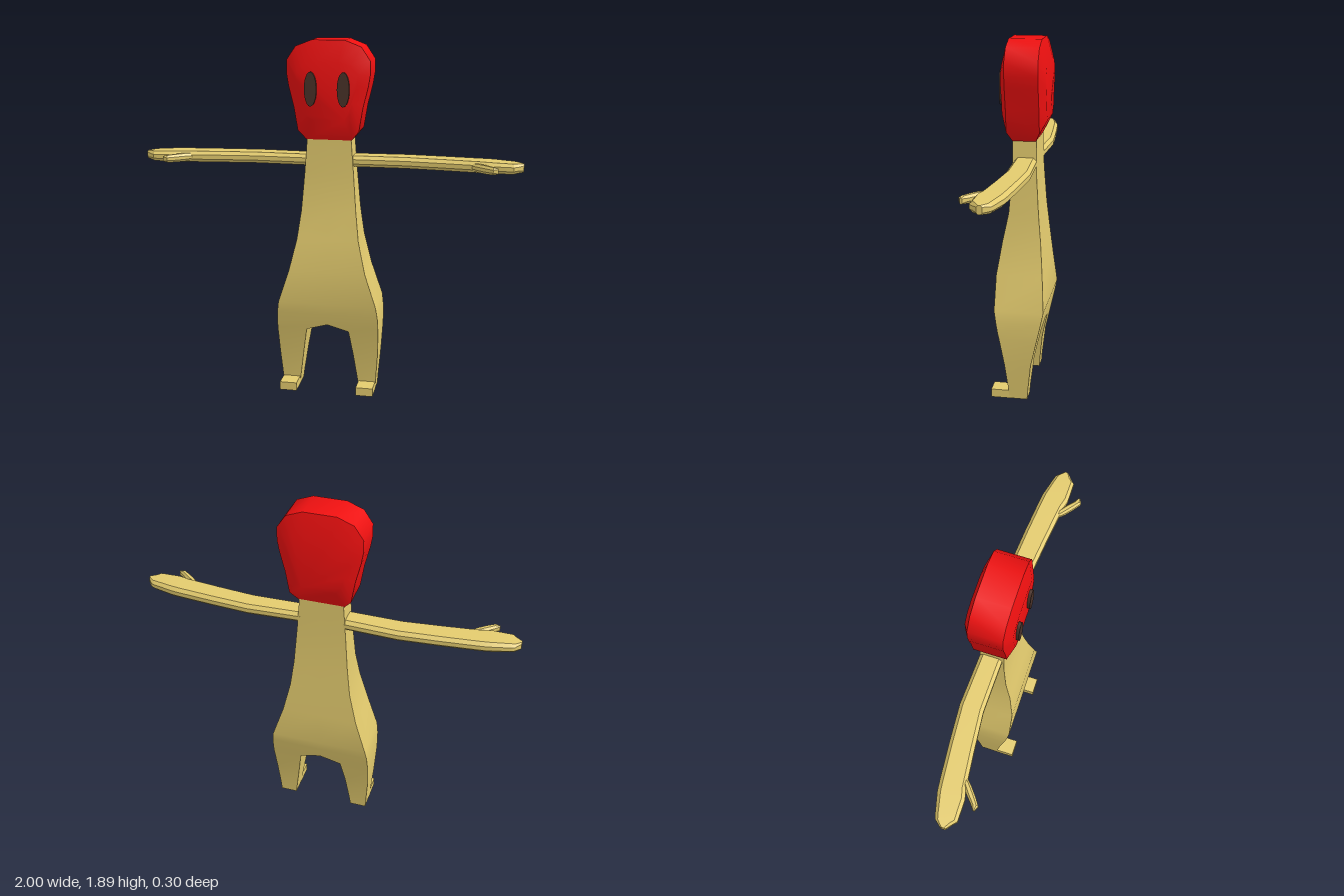
import * as THREE from 'three';
import { mergeGeometries, toCreasedNormals } from 'three/addons/utils/BufferGeometryUtils.js';

const skin = new THREE.MeshStandardMaterial({ color: 0xe3cb6e });
const red = new THREE.MeshStandardMaterial({ color: 0xee1010 });
const dark = new THREE.MeshStandardMaterial({ color: 0x4a3229 });

// Skin a list of equal-length rings of [x, y, z] points, capped at both ends.
// Rings run counter-clockwise about the loft direction.
function loft(rings) {
  const pos = [];
  const tri = (...p) => {
    if (p.every((v) => Math.abs(v[0]) < 1e-6)) return; // no wall on the mirror plane
    p.forEach((v) => pos.push(...v));
  };
  const n = rings[0].length;
  for (let r = 0; r < rings.length - 1; r++) {
    const a = rings[r], b = rings[r + 1];
    for (let i = 0; i < n; i++) {
      const j = (i + 1) % n;
      tri(a[i], a[j], b[j]);
      tri(a[i], b[j], b[i]);
    }
  }
  const s = rings[0], e = rings[rings.length - 1];
  for (let i = 1; i < n - 1; i++) {
    tri(s[0], s[i + 1], s[i]);
    tri(e[0], e[i], e[i + 1]);
  }
  const g = new THREE.BufferGeometry();
  g.setAttribute('position', new THREE.Float32BufferAttribute(pos, 3));
  return g;
}

const mirrorRings = (rings) => rings.map((r) => r.map(([x, y, z]) => [-x, y, z]).reverse());

function mesh(name, geometry, material) {
  const m = new THREE.Mesh(geometry, material);
  m.name = name;
  return m;
}

// Torso and leg, one half: y, inner x, outer x, front z, back z
const bodyRows = [
  [0, 0.165, 0.255, 0.033, -0.065],
  [0.045, 0.16, 0.258, 0.035, -0.068],
  [0.2, 0.138, 0.27, 0.055, -0.085],
  [0.345, 0.115, 0.276, 0.082, -0.117],
  [0.38, 0, 0.275, 0.09, -0.125],
  [0.44, 0, 0.273, 0.1, -0.138],
  [0.5, 0, 0.264, 0.11, -0.15],
  [0.68, 0, 0.205, 0.108, -0.135],
  [0.85, 0, 0.165, 0.082, -0.12],
  [1.0, 0, 0.146, 0.052, -0.105],
  [1.2, 0, 0.13, 0.036, -0.092],
  [1.4, 0, 0.115, 0.035, -0.088],
];

// Arm: x, back z, front z, bottom y, top y
const armRows = [
  [0.1, -0.09, 0.025, 1.237, 1.295],
  [0.4, -0.103, 0.02, 1.237, 1.295],
  [0.6, -0.088, 0.04, 1.237, 1.295],
  [0.79, -0.07, 0.062, 1.237, 1.295],
  [0.84, -0.064, 0.075, 1.237, 1.295],
  [0.95, -0.037, 0.075, 1.24, 1.292],
  [0.97, -0.03, 0.056, 1.242, 1.29],
  [1.0, 0.005, 0.032, 1.245, 1.288],
];
const thumbRows = [
  [0.73, 0.01, 0.045, 1.25, 1.282],
  [0.77, 0.04, 0.085, 1.245, 1.287],
  [0.81, 0.07, 0.117, 1.245, 1.287],
  [0.85, 0.106, 0.145, 1.247, 1.285],
  [0.875, 0.124, 0.134, 1.252, 1.28],
];

// Bevelled rectangle across the arm
function limbRing([x, z0, z1, y0, y1]) {
  const b = Math.min(0.018, (z1 - z0) * 0.3, (y1 - y0) * 0.3);
  return [
    [y1, z0 + b], [y1, z1 - b], [y1 - b, z1], [y0 + b, z1],
    [y0, z1 - b], [y0, z0 + b], [y0 + b, z0], [y1 - b, z0],
  ].map(([y, z]) => [x, y, z]);
}

function makeHead() {
  const half = [[0.12, 1.38], [0.16, 1.43], [0.18, 1.55], [0.207, 1.66],
    [0.217, 1.72], [0.217, 1.79], [0.17, 1.86], [0.085, 1.893]];
  const outline = [...half, ...half.map(([x, y]) => [-x, y]).reverse()];
  // Rim narrows towards the chin
  const rim = (front) => outline.map(([x, y]) => {
    const chin = y < 1.4 ? 0.024 : 0;
    return [x, y, front ? 0.06 - chin : -0.11 + chin];
  });
  const face = (z) => outline.map(([x, y]) => [x * 0.73, 1.64 + (y - 1.64) * 0.58, z]);
  return toCreasedNormals(loft([face(-0.142), rim(false), rim(true), face(0.09)]), 0.7);
}

export function createModel() {
  const model = new THREE.Group();

  // Torso with both legs
  const half = bodyRows.map(([y, xi, xo, zf, zb]) => [[xi, y, zf], [xo, y, zf], [xo, y, zb], [xi, y, zb]]);
  const body = mergeGeometries([loft(half), loft(mirrorRings(half))]);
  model.add(mesh('body', toCreasedNormals(body, 0.7), skin));

  // Head
  model.add(mesh('head', makeHead(), red));

  for (const [side, s] of [['left', 1], ['right', -1]]) {
    // Arm and thumb
    const arm = new THREE.Group();
    arm.name = side + 'Arm';
    for (const [name, rows] of [['Forearm', armRows], ['Thumb', thumbRows]]) {
      const rings = rows.map(limbRing);
      const g = loft(s > 0 ? rings : mirrorRings(rings));
      arm.add(mesh(side + name, toCreasedNormals(g, 0.6), skin));
    }
    model.add(arm);

    // Toe block
    const foot = mesh(side + 'Foot', new THREE.BoxGeometry(0.092, 0.045, 0.11), skin);
    foot.position.set(s * 0.21, 0.0225, 0.075);
    model.add(foot);

    // Eye
    const eyeShape = new THREE.CylinderGeometry(1, 1, 0.03, 24).rotateX(Math.PI / 2).scale(0.032, 0.088, 1);
    const eye = mesh(side + 'Eye', eyeShape, dark);
    eye.position.set(s * 0.085, 1.648, 0.09);
    model.add(eye);
  }
  return model;
}
